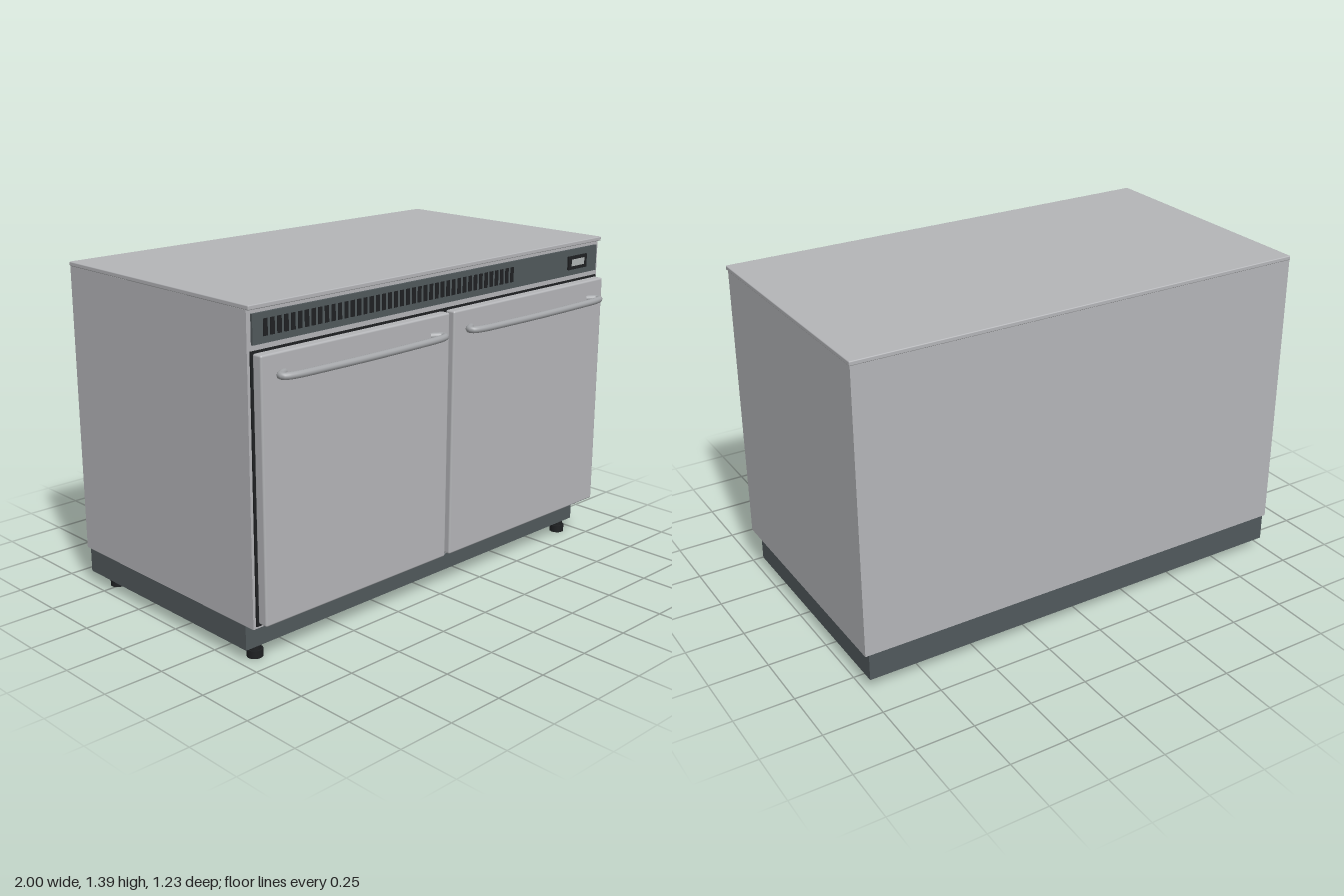
import * as THREE from 'three';
import { RoundedBoxGeometry } from 'three/addons/geometries/RoundedBoxGeometry.js';

const mat = (name, color) => {
  const m = new THREE.MeshStandardMaterial({ color });
  m.name = name;
  return m;
};

export function createModel() {
  const steel = mat('brushed steel', 0xb4b5b8);
  const handleSteel = mat('handle steel', 0xa4a6a9);
  const slate = mat('slate grey', 0x51595c);
  const rubber = mat('black rubber', 0x1f2123);
  const screenGrey = mat('display grey', 0xb0b5b4);

  const model = new THREE.Group();
  model.name = 'undercounterFridge';

  const add = (name, geometry, material, parent = model) => {
    const mesh = new THREE.Mesh(geometry, material);
    mesh.name = name;
    parent.add(mesh);
    return mesh;
  };
  // Box given by its limits on each axis
  const box = (name, material, [x0, x1], [y0, y1], [z0, z1], parent = model, radius = 0) => {
    const size = [x1 - x0, y1 - y0, z1 - z0];
    const geometry = radius
      ? new RoundedBoxGeometry(...size, 2, radius)
      : new THREE.BoxGeometry(...size);
    const mesh = add(name, geometry, material, parent);
    mesh.position.set((x0 + x1) / 2, (y0 + y1) / 2, (z0 + z1) / 2);
    return mesh;
  };

  // Cabinet, worktop and recessed plinth
  box('cabinet', steel, [-0.997, 0.997], [0.165, 1.372], [-0.612, 0.485]);
  box('worktop', steel, [-1, 1], [1.372, 1.39], [-0.614, 0.501], model, 0.004);
  box('plinth', slate, [-0.982, 0.982], [0.052, 0.165], [-0.612, 0.42]);

  // Door seal behind both doors
  box('doorSeal', rubber, [-0.985, 0.985], [0.175, 1.222], [0.485, 0.491]);

  // Control panel with its row of vent slots
  box('controlPanel', slate, [-0.978, 0.978], [1.244, 1.356], [0.485, 0.495]);
  const vents = new THREE.Group();
  vents.name = 'ventSlots';
  model.add(vents);
  const ventCount = 42;
  for (let i = 0; i < ventCount; i++) {
    const x = -0.92 + (i * 1.325) / (ventCount - 1);
    box('ventSlot', rubber, [x - 0.01, x + 0.01], [1.27, 1.333], [0.494, 0.497], vents);
  }

  // Temperature display
  box('displayBezel', rubber, [0.775, 0.9], [1.27, 1.328], [0.495, 0.503]);
  box('displayScreen', screenGrey, [0.795, 0.88], [1.285, 1.314], [0.5, 0.505]);

  // Bowed bar handle whose ends curl back to the door
  const halfHandle = [
    [0.375, 0.53], [0.395, 0.542], [0.416, 0.56], [0.412, 0.576], [0.375, 0.588], [0.2, 0.596],
  ];
  const points = [
    ...halfHandle.map(([x, z]) => new THREE.Vector3(-x, 0, z)),
    new THREE.Vector3(0, 0, 0.599),
    ...halfHandle.slice().reverse().map(([x, z]) => new THREE.Vector3(x, 0, z)),
  ];
  const handleGeometry = new THREE.TubeGeometry(
    new THREE.CatmullRomCurve3(points), 96, 0.014, 12);

  // Pair of doors
  for (const side of [-1, 1]) {
    const door = new THREE.Group();
    door.name = side > 0 ? 'leftDoor' : 'rightDoor';
    model.add(door);
    const limits = side > 0 ? [0.012, 0.977] : [-0.977, -0.012];
    box('doorPanel', steel, limits, [0.185, 1.215], [0.489, 0.536], door, 0.008);
    const handle = add('doorHandle', handleGeometry, handleSteel, door);
    handle.position.set(side * 0.493, 1.137, 0);
  }

  // Four adjustable feet
  for (const x of [-0.917, 0.917]) {
    for (const z of [0.392, -0.516]) {
      const foot = new THREE.Group();
      foot.name = 'foot';
      foot.position.set(x, 0, z);
      model.add(foot);
      add('footPad', new THREE.CylinderGeometry(0.032, 0.032, 0.032, 20), rubber, foot).position.y = 0.016;
      add('footStem', new THREE.CylinderGeometry(0.025, 0.025, 0.024, 20), rubber, foot).position.y = 0.042;
    }
  }
  return model;
}
